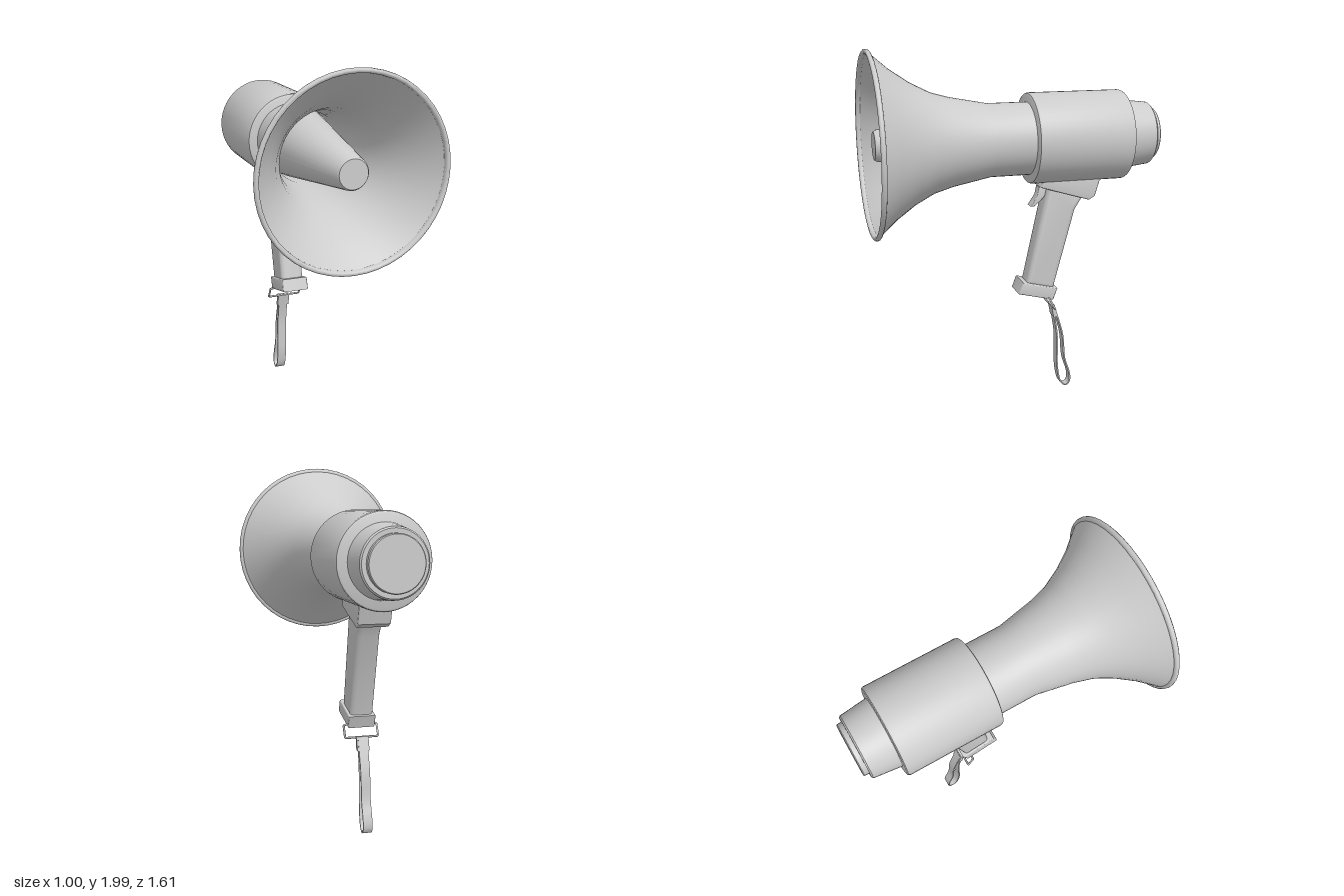
import * as THREE from 'three';
import { toCreasedNormals } from 'three/addons/utils/BufferGeometryUtils.js';

const grey = new THREE.MeshStandardMaterial({ color: 0xcccccc });
const AXIS_Y = 1.5;
const v2 = ([a, b]) => new THREE.Vector2(a, b);

export function createModel() {
  const group = new THREE.Group();

  const add = (name, geometry) => {
    const mesh = new THREE.Mesh(geometry, grey);
    mesh.name = name;
    group.add(mesh);
    return mesh;
  };

  // Turned part around the horn axis; profile is [radius, z], from back to front
  const turned = (name, profile, segments = 48, crease = 0.6) => {
    const g = new THREE.LatheGeometry(profile.map(v2), segments);
    g.rotateX(Math.PI / 2);
    add(name, toCreasedNormals(g, crease)).position.y = AXIS_Y;
  };

  // Side outline in [z, y], given a width along x and softened edges
  const slab = (name, outline, halfWidth, bevel = 0, holes = [], segments = 3) => {
    const shape = new THREE.Shape(outline.map(v2));
    holes.forEach((h) => shape.holes.push(new THREE.Path(h.map(v2))));
    const depth = 2 * (halfWidth - bevel);
    const g = new THREE.ExtrudeGeometry(shape, {
      depth, bevelEnabled: bevel > 0, bevelSize: bevel, bevelThickness: bevel,
      bevelOffset: -bevel, bevelSegments: segments,
    });
    g.translate(0, 0, -depth / 2);
    g.rotateY(-Math.PI / 2);
    add(name, toCreasedNormals(g, 0.6));
  };

  // Flared horn: outer wall, rolled rim, inner wall
  const flare = [[0.2, -0.1], [0.2, 0.15], [0.24, 0.36], [0.27, 0.465], [0.327, 0.577], [0.402, 0.685], [0.48, 0.775]];
  const inner = flare.map(([r, z]) => [r - 0.006, z + 0.003]).reverse();
  turned('horn', [...flare, ...inner]);
  turned('hornRim', [[0.474, 0.776], [0.49, 0.774], [0.498, 0.78], [0.5, 0.787], [0.498, 0.796],
    [0.49, 0.802], [0.481, 0.8], [0.475, 0.792], [0.474, 0.776]], 48, 1.2);

  // Inner sound cone
  turned('innerCone', [[0, -0.03], [0.193, -0.03], [0.193, 0.02], [0.084, 0.755], [0.075, 0.77], [0, 0.77]], 32);

  // Main housing with rounded edges, then the tapered back and its cap
  turned('housing', [[0, -0.62], [0.235, -0.62], [0.246, -0.615], [0.25, -0.605],
    [0.25, -0.085], [0.246, -0.075], [0.235, -0.07], [0, -0.07]]);
  turned('backCone', [[0, -0.78], [0.168, -0.78], [0.176, -0.772], [0.194, -0.61], [0, -0.61]]);
  turned('backCap', [[0, -0.81], [0.14, -0.81], [0.145, -0.805], [0.145, -0.77], [0, -0.77]]);

  // Grip: mount under the housing, handle, foot and trigger
  slab('handleMount', [[-0.13, 1.235], [-0.41, 1.15], [-0.445, 1.17], [-0.485, 1.3], [-0.16, 1.3]], 0.09, 0.008);
  slab('handle', [[-0.18, 1.24], [-0.055, 0.67], [-0.215, 0.63], [-0.34, 1.09], [-0.39, 1.17]], 0.066, 0.03, [], 4);
  slab('handleFoot', [[-0.03, 0.692], [-0.005, 0.625], [-0.21, 0.572], [-0.235, 0.64]], 0.076, 0.008);
  slab('trigger', [[-0.135, 1.23], [-0.125, 1.18], [-0.085, 1.12], [-0.105, 1.117], [-0.145, 1.15], [-0.2, 1.21]], 0.03, 0.005);

  // Wire bail hung from the foot
  const corners = [[-0.06, 0.6, -0.17], [-0.06, 0.588, -0.18], [-0.094, 0.583, -0.183], [-0.094, 0.52, -0.217],
    [0.094, 0.52, -0.217], [0.094, 0.583, -0.183], [0.06, 0.588, -0.18], [0.06, 0.6, -0.17]]
    .map((p) => new THREE.Vector3(...p));
  const wire = new THREE.CurvePath();
  for (let i = 1; i < corners.length; i++) wire.add(new THREE.LineCurve3(corners[i - 1], corners[i]));
  add('strapBail', new THREE.TubeGeometry(wire, 90, 0.006, 6));

  // Wrist strap: a thin closed band
  const path = new THREE.SplineCurve([[-0.222, 0.515], [-0.25, 0.36], [-0.254, 0.25], [-0.256, 0.14], [-0.272, 0.05],
    [-0.3, 0.012], [-0.326, 0.018], [-0.336, 0.05], [-0.328, 0.1], [-0.3, 0.19], [-0.285, 0.34], [-0.232, 0.515]].map(v2));
  const band = (offset) => Array.from({ length: 49 }, (_, i) => {
    const p = path.getPoint(i / 48), t = path.getTangent(i / 48);
    return [p.x + t.y * offset, p.y - t.x * offset];
  });
  slab('wristStrap', [...band(-0.004), ...band(0.004).reverse()], 0.026);
  slab('strapClasp', [[-0.213, 0.525], [-0.228, 0.45], [-0.253, 0.45], [-0.232, 0.525]], 0.034);

  return group;
}
